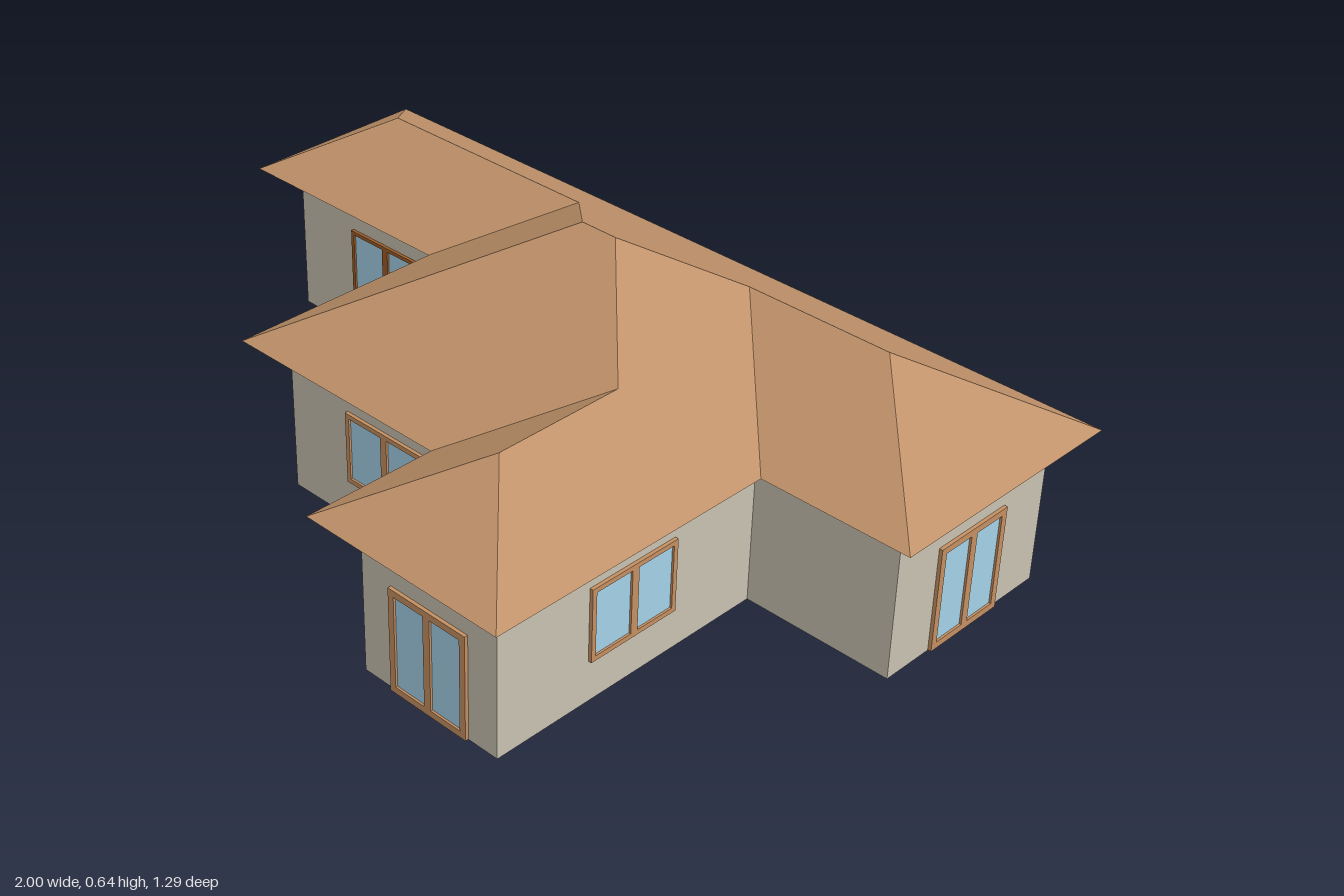
import * as THREE from 'three';

const EAVE = 0.355, PITCH = 0.574;

const mat = (name, color, side = THREE.FrontSide) => {
  const m = new THREE.MeshStandardMaterial({ color, side });
  m.name = name;
  return m;
};
const wallMat = mat('warm grey plaster', 0xc8c1b2);
const roofMat = mat('tan roof tiles', 0xc0926a);
const soffitMat = mat('brown timber', 0x9c5d2a);
const frameMat = mat('light wood', 0xc48f62);
const glassMat = mat('blue glass', 0xa8d6ec);
const floorMat = mat('dark grey floor', 0x6c6c6c);

// Plan corners [x, z] of the walls and of the eaves
const wallPlan = [[-0.93, -0.575], [0.93, -0.575], [0.93, -0.115], [0.58, -0.115], [0.58, 0.575],
  [0.22, 0.575], [0.22, 0.265], [-0.35, 0.265], [-0.35, -0.255], [-0.93, -0.255]];
const eaves = {
  A: [-1, -0.645], B: [1, -0.645], C: [1, -0.045], D: [0.65, -0.045], E: [0.65, 0.645],
  F: [0.15, 0.645], G: [0.15, 0.335], H: [-0.42, 0.335], I: [-0.42, -0.185], J: [-1, -0.185],
};
// Ridge points [x, z, distance in from the eave]
const ridges = {
  a: [-0.77, -0.415, 0.23], b: [-0.19, -0.415, 0.23], c: [0.07, -0.155, 0.49], d: [0.16, -0.155, 0.49],
  e: [0.35, -0.345, 0.3], f: [0.7, -0.345, 0.3], g: [0.4, 0.085, 0.25], h: [0.4, 0.395, 0.25],
};
const slopes = {
  backSlope: 'ABfedcba', leftWingHip: 'JAa', leftWingFrontSlope: 'IJab', middleSideSlope: 'HIbc',
  middleFrontSlope: 'GHcdg', porchSideSlope: 'FGgh', porchHip: 'EFh', longSideSlope: 'DEhgde',
  rightWingFrontSlope: 'CDef', rightWingHip: 'BCf',
};

const planShape = (pts, sign) => new THREE.Shape(pts.map(([x, z]) => new THREE.Vector2(x, sign * z)));

// One flat roof slope from its lettered corners, facing up
function slopeGeometry(letters) {
  let pts = [...letters].map((k) => {
    const [x, z, d = 0] = eaves[k] || ridges[k];
    return new THREE.Vector3(x, EAVE + d * PITCH, z);
  });
  const flat = () => pts.map((p) => new THREE.Vector2(p.x, -p.z));
  if (THREE.ShapeUtils.isClockWise(flat())) pts = pts.reverse();
  const geo = new THREE.BufferGeometry().setFromPoints(pts);
  geo.setIndex(THREE.ShapeUtils.triangulateShape(flat(), []).flat());
  geo.computeVertexNormals();
  return geo;
}

function rect(target, x0, y0, x1, y1) {
  target.moveTo(x0, y0);
  target.lineTo(x1, y0);
  target.lineTo(x1, y1);
  target.lineTo(x0, y1);
  target.closePath();
  return target;
}

// Two-pane window or glazed door, standing on y = 0 and facing +z
function glazing(name, w, h, border, material) {
  const group = new THREE.Group();
  group.name = name;
  const half = w / 2, bar = 0.009;
  const outline = rect(new THREE.Shape(), -half, 0, half, h);
  outline.holes.push(
    rect(new THREE.Path(), -half + border, border, -bar, h - border),
    rect(new THREE.Path(), bar, border, half - border, h - border),
  );
  const frame = new THREE.Mesh(
    new THREE.ExtrudeGeometry(outline, { depth: 0.008, bevelEnabled: false }), material);
  frame.name = name + 'Frame';
  const glass = new THREE.Mesh(new THREE.BoxGeometry(w - border, h - border, 0.004), glassMat);
  glass.name = name + 'Glass';
  glass.position.set(0, h / 2, 0.001);
  group.add(frame, glass);
  return group;
}

export function createModel() {
  const house = new THREE.Group();
  house.name = 'house';
  const add = (name, geo, material) => {
    const mesh = new THREE.Mesh(geo, material);
    mesh.name = name;
    house.add(mesh);
  };

  // Walls, with the floor slab colour on the caps
  const walls = new THREE.ExtrudeGeometry(planShape(wallPlan, -1), { depth: EAVE - 0.001, bevelEnabled: false });
  add('walls', walls.rotateX(-Math.PI / 2), [floorMat, wallMat]);

  // Underside of the overhanging eaves
  const soffit = new THREE.ShapeGeometry(planShape(Object.values(eaves), 1));
  add('soffit', soffit.rotateX(Math.PI / 2).translate(0, EAVE, 0), soffitMat);

  // Hipped roof
  for (const [name, letters] of Object.entries(slopes)) add(name, slopeGeometry(letters), roofMat);

  // Windows and doors: name, x, y, z, turn, width, height, border, frame material
  const Q = Math.PI / 2, WH = 0.168;
  const openings = [
    ['leftWingWindow', -0.637, 0.097, -0.255, 0, 0.228, WH, 0.009, soffitMat],
    ['middleWindow', -0.06, 0.097, 0.265, 0, 0.23, WH, 0.011, frameMat],
    ['porchDoor', 0.402, 0.001, 0.575, 0, 0.205, 0.24, 0.015, frameMat],
    ['porchSideWindow', 0.58, 0.095, 0.225, Q, 0.23, WH, 0.011, frameMat],
    ['sideDoor', 0.93, 0.001, -0.343, Q, 0.205, 0.24, 0.015, frameMat],
    ['backWindowA', 0.347, 0.097, -0.575, Math.PI, 0.23, WH, 0.011, frameMat],
    ['backWindowB', -0.322, 0.097, -0.575, Math.PI, 0.23, WH, 0.011, frameMat],
    ['leftWingSideWindow', -0.93, 0.097, -0.42, -Q, 0.23, WH, 0.011, frameMat],
    ['middleSideWindow', -0.35, 0.097, -0.02, -Q, 0.23, WH, 0.011, frameMat],
  ];
  for (const [name, x, y, z, turn, w, h, border, material] of openings) {
    const unit = glazing(name, w, h, border, material);
    unit.position.set(x, y, z);
    unit.rotation.y = turn;
    house.add(unit);
  }
  return house;
}
